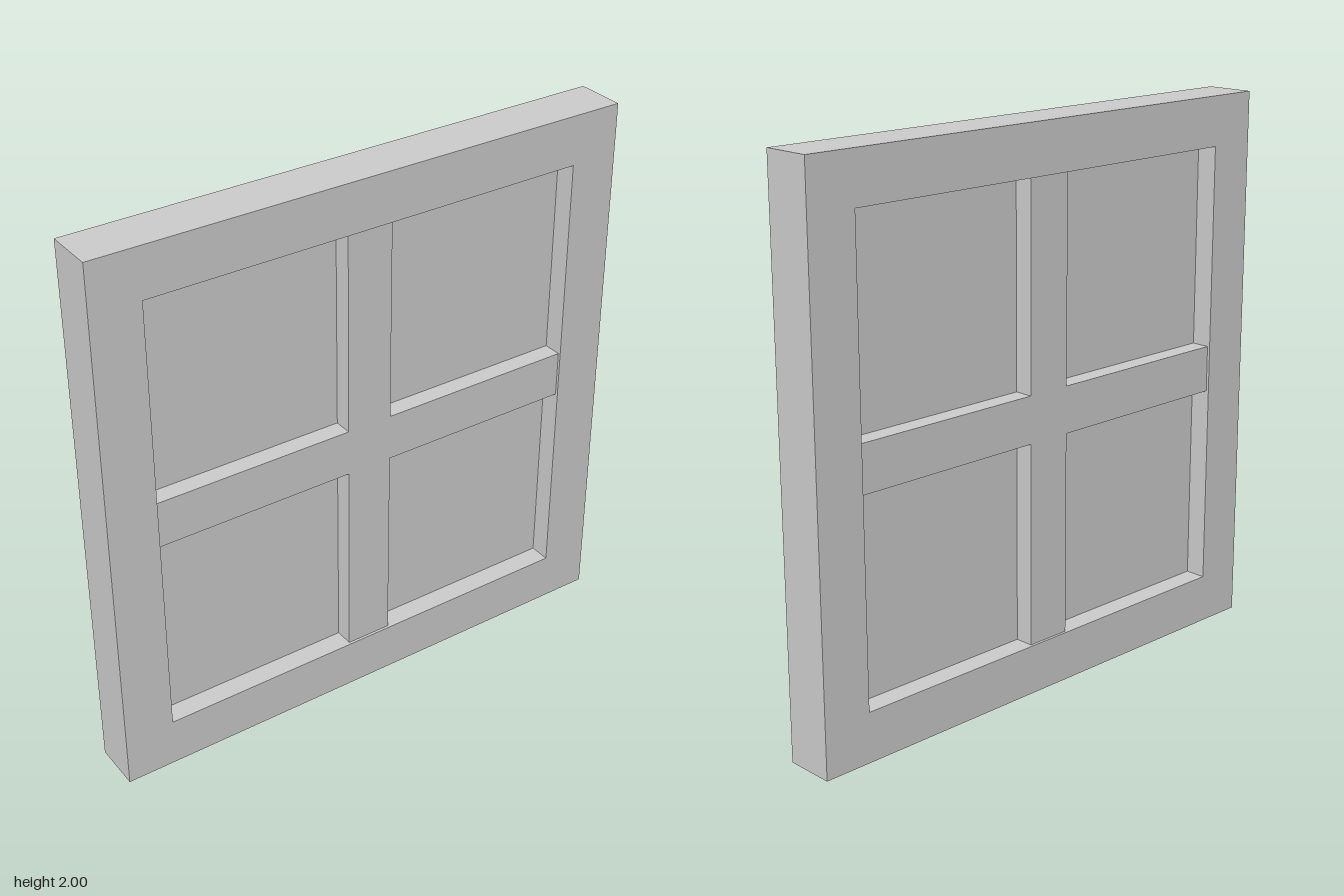
import * as THREE from 'three';

const OUTER = 1;        // half width of the whole window
const INNER = 0.82;     // half width of the frame opening
const BAR = 0.085;      // half width of the glazing bars
const DEPTH = 0.18;
const BAR_DEPTH = 0.16; // bars sit slightly behind the frame faces
const PANE_DEPTH = 0.024;

const points = (list) => list.map(([x, y]) => new THREE.Vector2(x, y));
const square = (r) => points([[-r, -r], [r, -r], [r, r], [-r, r]]);

export function createModel() {
  const group = new THREE.Group();
  group.name = 'window';
  const material = new THREE.MeshStandardMaterial({ color: 0xcccccc, flatShading: true });

  // Centres an extruded outline on z = 0 and raises it to stand on the ground
  const addPart = (name, shape, depth) => {
    const geometry = new THREE.ExtrudeGeometry(shape, { depth, bevelEnabled: false });
    geometry.translate(0, OUTER, -depth / 2);
    const mesh = new THREE.Mesh(geometry, material);
    mesh.name = name;
    group.add(mesh);
  };

  // Outer frame with one square opening
  const frame = new THREE.Shape(square(OUTER));
  frame.holes.push(new THREE.Path(square(INNER)));
  addPart('frame', frame, DEPTH);

  // Crossed glazing bars in one piece
  const a = BAR, b = INNER;
  addPart('glazingBars', new THREE.Shape(points([
    [-a, -b], [a, -b], [a, -a], [b, -a], [b, a], [a, a],
    [a, b], [-a, b], [-a, a], [-b, a], [-b, -a], [-a, -a],
  ])), BAR_DEPTH);

  // Four thin panes, recessed on both sides
  const size = INNER - BAR, centre = (INNER + BAR) / 2;
  for (const [v, sy] of [['lower', -1], ['upper', 1]]) {
    for (const [h, sx] of [['Right', -1], ['Left', 1]]) {
      const pane = new THREE.Mesh(new THREE.BoxGeometry(size, size, PANE_DEPTH), material);
      pane.name = `${v}${h}Pane`;
      pane.position.set(sx * centre, OUTER + sy * centre, 0);
      group.add(pane);
    }
  }

  return group;
}
